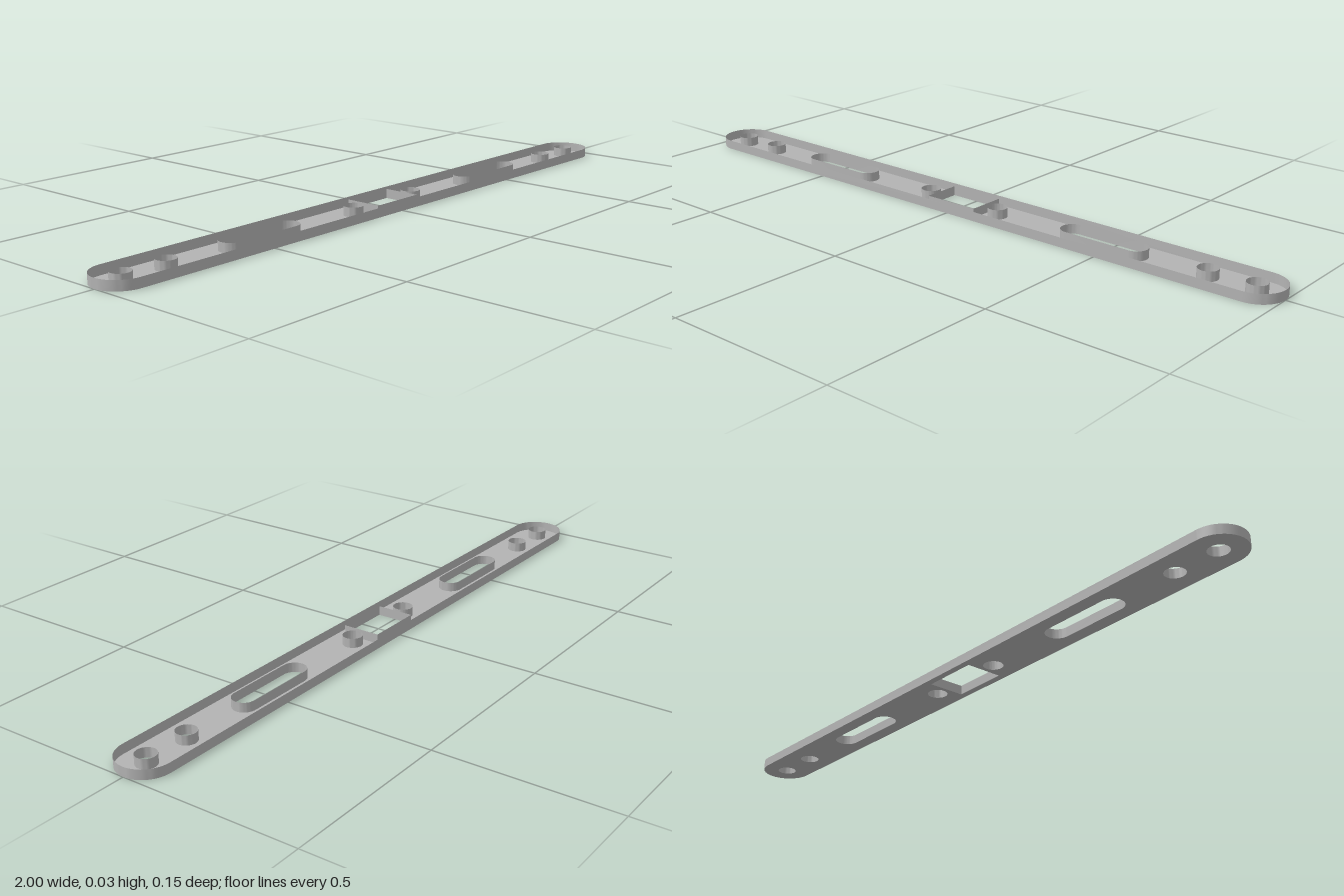
import * as THREE from 'three';
import { toCreasedNormals } from 'three/addons/utils/BufferGeometryUtils.js';

const HEIGHT = 0.027;

// Closed outline of a slot with round ends (a circle when half is 0)
function slotPoints(cx, half, r, n = 24) {
  const pts = [];
  for (const [x, start] of [[cx + half, -Math.PI / 2], [cx - half, Math.PI / 2]]) {
    for (let i = 0; i <= n; i++) {
      if (half === 0 && i === n) continue;
      const a = start + (i / n) * Math.PI;
      pts.push(new THREE.Vector2(x + r * Math.cos(a), r * Math.sin(a)));
    }
  }
  return pts;
}

function rectPoints(w, d) {
  return [[w, -d], [w, d], [-w, d], [-w, -d]].map(([x, z]) => new THREE.Vector2(x, z));
}

// Thin upright wall following a closed outline
function wallGeometry(pts) {
  const pos = [];
  pts.forEach((a, i) => {
    const b = pts[(i + 1) % pts.length];
    pos.push(a.x, 0, a.y, a.x, HEIGHT, a.y, b.x, 0, b.y);
    pos.push(b.x, 0, b.y, a.x, HEIGHT, a.y, b.x, HEIGHT, b.y);
  });
  const geo = new THREE.BufferGeometry();
  geo.setAttribute('position', new THREE.Float32BufferAttribute(pos, 3));
  return toCreasedNormals(geo, Math.PI / 6);
}

export function createModel() {
  const group = new THREE.Group();
  group.name = 'mountingStrip';
  const grey = new THREE.MeshStandardMaterial({ color: 0xb3b3b3, side: THREE.DoubleSide });
  grey.name = 'grey';
  const add = (name, geo) => {
    const mesh = new THREE.Mesh(geo, grey);
    mesh.name = name;
    group.add(mesh);
  };

  // Openings: centre window, long slots and screw holes
  const openings = [['windowWall', rectPoints(0.083, 0.055)]];
  for (const s of [-1, 1]) {
    openings.push(['slotWall', slotPoints(s * 0.48, 0.099, 0.034)]);
    for (const x of [0.123, 0.79, 0.925]) openings.push(['screwBoss', slotPoints(s * x, 0, 0.028)]);
  }

  // Floor plate with every opening cut out; the tray is open on top
  const outline = slotPoints(0, 0.925, 0.075);
  const shape = new THREE.Shape(outline);
  for (const [, pts] of openings) shape.holes.push(new THREE.Path([...pts].reverse()));
  add('floor', new THREE.ShapeGeometry(shape).rotateX(Math.PI / 2));

  // Outer rim, and a raised wall around each opening
  add('rim', wallGeometry(outline));
  for (const [name, pts] of openings) add(name, wallGeometry([...pts].reverse()));

  return group;
}
